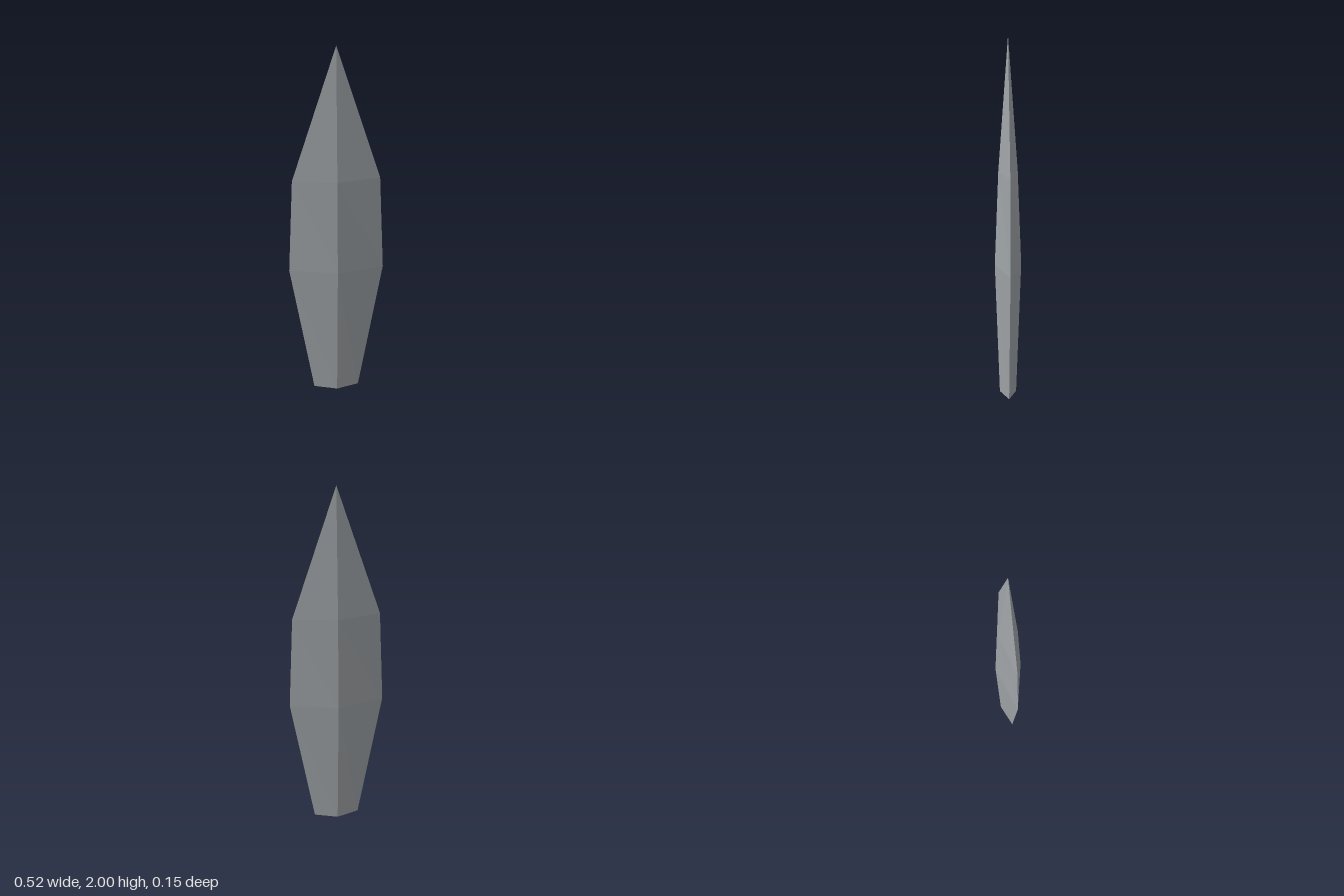
import * as THREE from 'three';

// Diamond cross-sections from the base to the tip: [height, half width, half depth]
const SECTIONS = [
  [0, 0.127, 0.046],
  [0.74, 0.262, 0.073],
  [1.265, 0.24, 0.053],
  [2, 0, 0],
];

function bladeGeometry() {
  // Corners run left edge, front ridge, right edge, back ridge
  const rings = SECTIONS.map(([y, w, d]) => [[-w, y, 0], [0, y, d], [w, y, 0], [0, y, -d]]);
  const points = [];
  const tri = (a, b, c) => points.push(...a, ...b, ...c);

  for (let i = 0; i < rings.length - 1; i++) {
    const low = rings[i], high = rings[i + 1];
    const isTip = i === rings.length - 2;
    for (let k = 0; k < 4; k++) {
      const n = (k + 1) % 4;
      tri(high[k], low[k], low[n]);
      if (!isTip) tri(high[k], low[n], high[n]);
    }
  }

  // Flat base cap
  const base = rings[0];
  tri(base[0], base[3], base[2]);
  tri(base[0], base[2], base[1]);

  const geometry = new THREE.BufferGeometry();
  geometry.setAttribute('position', new THREE.Float32BufferAttribute(points, 3));
  geometry.computeVertexNormals(); // unshared corners keep the facets flat
  return geometry;
}

export function createModel() {
  const steel = new THREE.MeshStandardMaterial({ color: 0x9ea3a6 });
  steel.name = 'steel grey';

  const blade = new THREE.Mesh(bladeGeometry(), steel);
  blade.name = 'blade';

  const model = new THREE.Group();
  model.name = 'facetedBlade';
  model.add(blade);
  return model;
}
